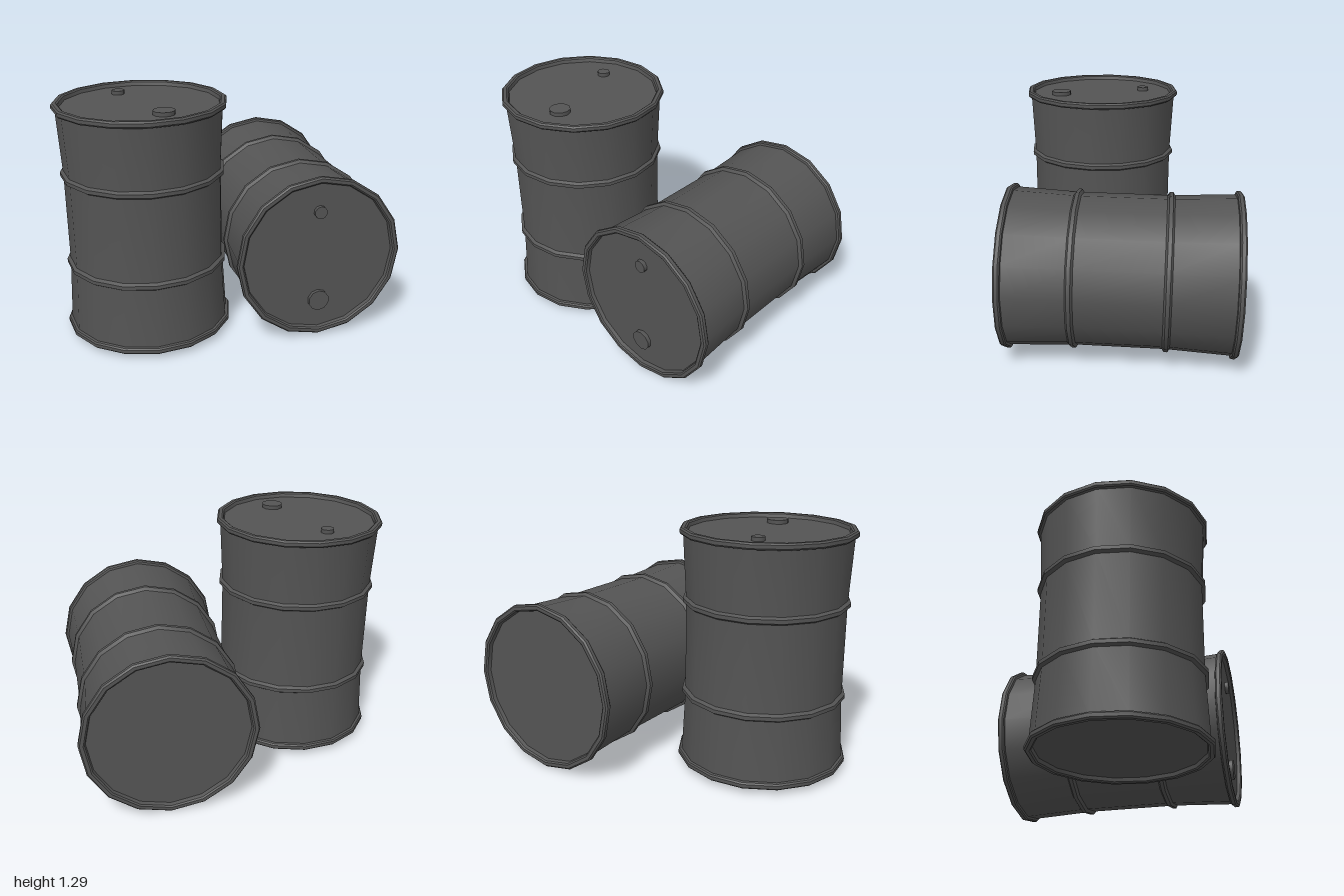
import * as THREE from 'three';
import { toCreasedNormals } from 'three/addons/utils/BufferGeometryUtils.js';

const SIDES = 16;
const HALF = 0.63; // half the drum height

export function createModel() {
  const darkSteel = new THREE.MeshStandardMaterial({ color: 0x545454 });
  darkSteel.name = 'darkSteel';

  const part = (name, geometry) => {
    const mesh = new THREE.Mesh(geometry, darkSteel);
    mesh.name = name;
    return mesh;
  };
  const lathe = (points) => toCreasedNormals(
    new THREE.LatheGeometry(points.map(([r, y]) => new THREE.Vector2(r, y)), SIDES), 0.6);

  // One drum, centred on its own origin, lid towards +y
  function makeDrum(name) {
    const drum = new THREE.Group();
    drum.name = name;

    // Wall: narrow between the ribs, flaring towards both ends
    drum.add(part('wall', lathe([
      [0.438, -HALF + 0.02], [0.42, -0.25], [0.42, 0.25], [0.438, HALF - 0.02],
    ])));

    // Raised ribs around the wall
    for (const [ribName, y] of [['lowerRib', -0.25], ['upperRib', 0.25]]) {
      drum.add(part(ribName, lathe([
        [0.418, y - 0.022], [0.437, y - 0.01], [0.437, y + 0.01], [0.418, y + 0.022],
      ])));
    }

    // Rolled rim with a recessed disc at each end
    const rim = [
      [0.43, HALF - 0.038], [0.45, HALF - 0.034], [0.456, HALF - 0.026],
      [0.456, HALF - 0.008], [0.448, HALF], [0.43, HALF],
      [0.422, HALF - 0.006], [0.417, HALF - 0.025],
    ];
    const disc = [[0.417, HALF - 0.025], [0, HALF - 0.025]];
    const flip = (pts) => pts.map(([r, y]) => [r, -y]).reverse();
    drum.add(part('topRim', lathe(rim)), part('lid', lathe(disc)));
    drum.add(part('bottomRim', lathe(flip(rim))), part('base', lathe(flip(disc))));

    // Bung caps on the lid
    for (const [capName, r, z] of [['largeBung', 0.058, 0.255], ['smallBung', 0.035, -0.258]]) {
      const cap = part(capName, toCreasedNormals(new THREE.CylinderGeometry(r, r, 0.022, 10), 0.7));
      cap.position.set(0, HALF - 0.015, z);
      drum.add(cap);
    }
    return drum;
  }

  const model = new THREE.Group();
  model.name = 'drums';

  const standing = makeDrum('standingDrum');
  standing.position.set(-0.552, 0.03 + HALF, -0.253);
  standing.rotation.y = THREE.MathUtils.degToRad(-10);

  // Lying on its side, lid facing forwards
  const lying = makeDrum('lyingDrum');
  lying.position.set(0.29, 0.463, 0);
  lying.rotation.order = 'YXZ';
  lying.rotation.set(THREE.MathUtils.degToRad(89.5), THREE.MathUtils.degToRad(-29), 0);

  model.add(standing, lying);
  return model;
}
